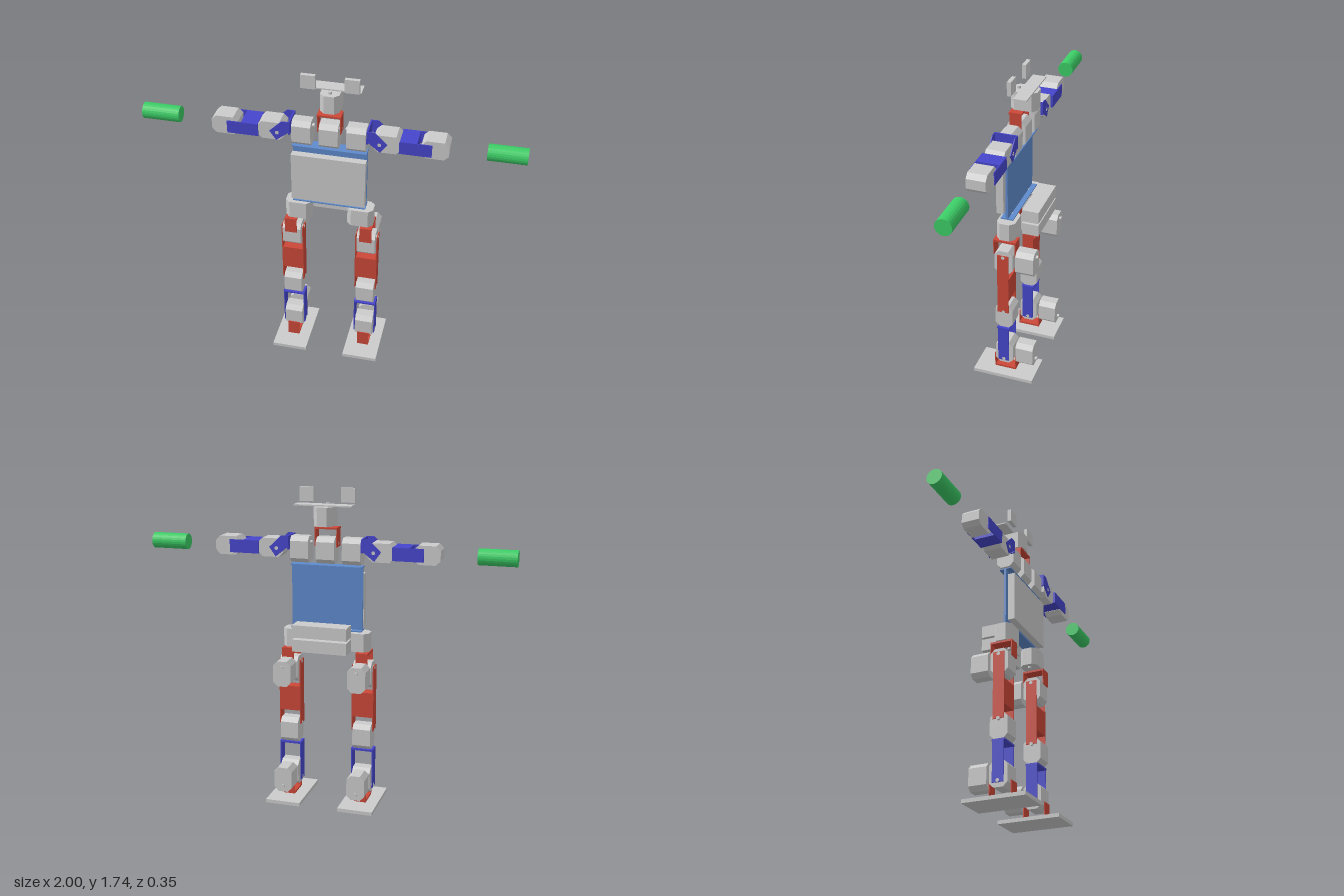
import * as THREE from 'three';

const mat = (color) => new THREE.MeshStandardMaterial({ color, flatShading: true });

export function createModel() {
  const root = new THREE.Group();
  const grey = mat(0xcccccc), red = mat(0xcc4838), blue = mat(0x4646cc);
  const panelBlue = mat(0x5f8acc), green = mat(0x3ccc66);
  const Z = 0.005; // depth of the main body plane

  function add(parent, name, geo, material, x = 0, y = 0, z = 0) {
    const m = new THREE.Mesh(geo, material);
    m.name = name;
    m.position.set(x, y, z);
    parent.add(m);
    return m;
  }

  // box given by its min and max on each axis
  function box(parent, name, material, x0, x1, y0, y1, z0, z1) {
    return add(parent, name,
      new THREE.BoxGeometry(Math.abs(x1 - x0), y1 - y0, z1 - z0), material,
      (x0 + x1) / 2, (y0 + y1) / 2, (z0 + z1) / 2);
  }

  // motor: chamfered 0.10 x 0.14 case along local y, output shaft along local z
  function servo(parent, name, x, y, z, rotation = [0, 0, 0], pivot = 0.037) {
    const g = new THREE.Group();
    const w = 0.05, h = 0.07, c = 0.024, d = 0.1;
    const outline = new THREE.Shape([
      [-w + c, -h], [w - c, -h], [w, -h + c], [w, h - c],
      [w - c, h], [-w + c, h], [-w, h - c], [-w, -h + c],
    ].map(([a, b]) => new THREE.Vector2(a, b)));
    const geo = new THREE.ExtrudeGeometry(outline, { depth: d, bevelEnabled: false });
    add(g, name + 'Case', geo.translate(0, 0, -d / 2), grey);
    const shaft = new THREE.CylinderGeometry(0.01, 0.01, d + 0.024, 12).rotateX(Math.PI / 2);
    add(g, name + 'Shaft', shaft, grey, 0, pivot, 0);
    g.name = name;
    g.position.set(x, y, z);
    g.rotation.set(...rotation);
    parent.add(g);
    return g;
  }
  const ACROSS = [0, Math.PI / 2, 0]; // shaft along x

  // torso: sheet with folded flanges and a front battery panel
  const torso = new THREE.Group();
  torso.name = 'torso';
  root.add(torso);
  box(torso, 'backPlate', panelBlue, -0.197, 0.197, 0.985, 1.335, 0, 0.012);
  for (const y of [0.985, 1.329])
    box(torso, 'torsoFlange', panelBlue, -0.197, 0.197, y, y + 0.006, -0.028, 0.04);
  box(torso, 'chestPanel', grey, -0.197, 0.197, 1.015, 1.293, 0.025, 0.064);
  box(torso, 'upperPack', grey, -0.15, 0.15, 0.962, 1.03, -0.152, -0.06);
  box(torso, 'lowerPack', grey, -0.15, 0.15, 0.885, 0.951, -0.152, -0.06);

  // neck and head
  const head = new THREE.Group();
  head.name = 'head';
  root.add(head);
  servo(head, 'neckServo', 0, 1.415, Z, ACROSS);
  box(head, 'neckBracketTop', red, -0.062, 0.062, 1.528, 1.537, -0.028, 0.042);
  for (const s of [-1, 1])
    box(head, 'neckBracketSide', red, s * 0.057, s * 0.062, 1.435, 1.53, -0.025, 0.038);
  servo(head, 'headServo', 0, 1.6, -0.029, [Math.PI / 2, 0, 0]);
  box(head, 'headPlate', grey, -0.155, 0.155, 1.654, 1.661, -0.086, -0.014);
  for (const s of [-1, 1])
    box(head, 'ear', grey, s * 0.075, s * 0.15, 1.668, 1.743, -0.003, 0.018);

  function arm(s) {
    const g = new THREE.Group();
    g.name = s > 0 ? 'leftArm' : 'rightArm';
    servo(g, 'shoulderServo', s * 0.143, 1.415, Z, ACROSS);
    // bent shoulder bracket: upright web with two angled cheeks
    box(g, 'shoulderWeb', blue, s * 0.198, s * 0.206, 1.415, 1.488, -0.056, 0.066);
    const cheek = new THREE.Shape([
      [0.2, 1.488], [0.24, 1.488], [0.305, 1.425], [0.27, 1.375], [0.2, 1.43],
    ].map(([x, y]) => new THREE.Vector2(s * x, y)));
    for (const z of [-0.056, 0.061])
      add(g, 'shoulderCheek', new THREE.ExtrudeGeometry(cheek, { depth: 0.005, bevelEnabled: false }),
        blue, 0, 0, z);
    const along = [0, 0, s * Math.PI / 2];
    servo(g, 'elbowServo', s * 0.302, 1.42, Z, along);
    // forearm bracket
    box(g, 'forearmWeb', blue, s * 0.367, s * 0.455, 1.385, 1.455, -0.056, 0.066);
    for (const z of [-0.058, 0.063])
      box(g, 'forearmPlate', blue, s * 0.365, s * 0.53, 1.385, 1.455, z, z + 0.005);
    servo(g, 'wristServo', s * 0.545, 1.42, Z, along);
    add(g, 'handGrip', new THREE.CylinderGeometry(0.043, 0.043, 0.2, 24).rotateZ(Math.PI / 2),
      green, s * 0.9, 1.42, Z);
    root.add(g);
  }

  function leg(s) {
    const g = new THREE.Group();
    g.name = s > 0 ? 'leftLeg' : 'rightLeg';
    g.position.x = s * 0.207;
    // hip rotation motor lies flat
    servo(g, 'hipServo', -s * 0.038, 0.93, Z, [Math.PI / 2, 0, s * Math.PI / 2]);
    // red cradles: web plus front and back plates
    for (const [name, webY, y0, y1] of [['hip', 0.864, 0.785, 0.875], ['foot', 0.02, 0.02, 0.11]]) {
      box(g, name + 'BracketWeb', red, -0.033, 0.033, webY, webY + 0.011, -0.056, 0.068);
      for (const z of [-0.056, 0.063])
        box(g, name + 'BracketPlate', red, -0.033, 0.033, y0, y1, z, z + 0.005);
    }
    // front and rear motors at hip and ankle, one at the knee
    servo(g, 'hipPitchServo', 0, 0.752, Z, ACROSS);
    servo(g, 'hipRollServo', 0, 0.755, -0.11);
    servo(g, 'kneeServo', 0, 0.395, Z, ACROSS);
    servo(g, 'anklePitchServo', 0, 0.143, Z, ACROSS, -0.037);
    servo(g, 'ankleRollServo', 0, 0.143, -0.11, undefined, -0.037);
    // thigh and shin brackets
    box(g, 'thighBlock', red, -0.058, 0.058, 0.508, 0.648, -0.025, 0.038);
    box(g, 'shinWeb', blue, -0.061, 0.061, 0.312, 0.322, -0.028, 0.042);
    for (const k of [-1, 1]) {
      box(g, 'thighPlate', red, k * 0.056, k * 0.061, 0.43, 0.8, -0.025, 0.038);
      box(g, 'shinPlate', blue, k * 0.056, k * 0.061, 0.096, 0.32, -0.025, 0.038);
    }
    box(g, 'footPlate', grey, -0.098, 0.098, 0, 0.02, -0.173, 0.173);
    root.add(g);
  }

  for (const s of [-1, 1]) {
    arm(s);
    leg(s);
  }
  return root;
}
